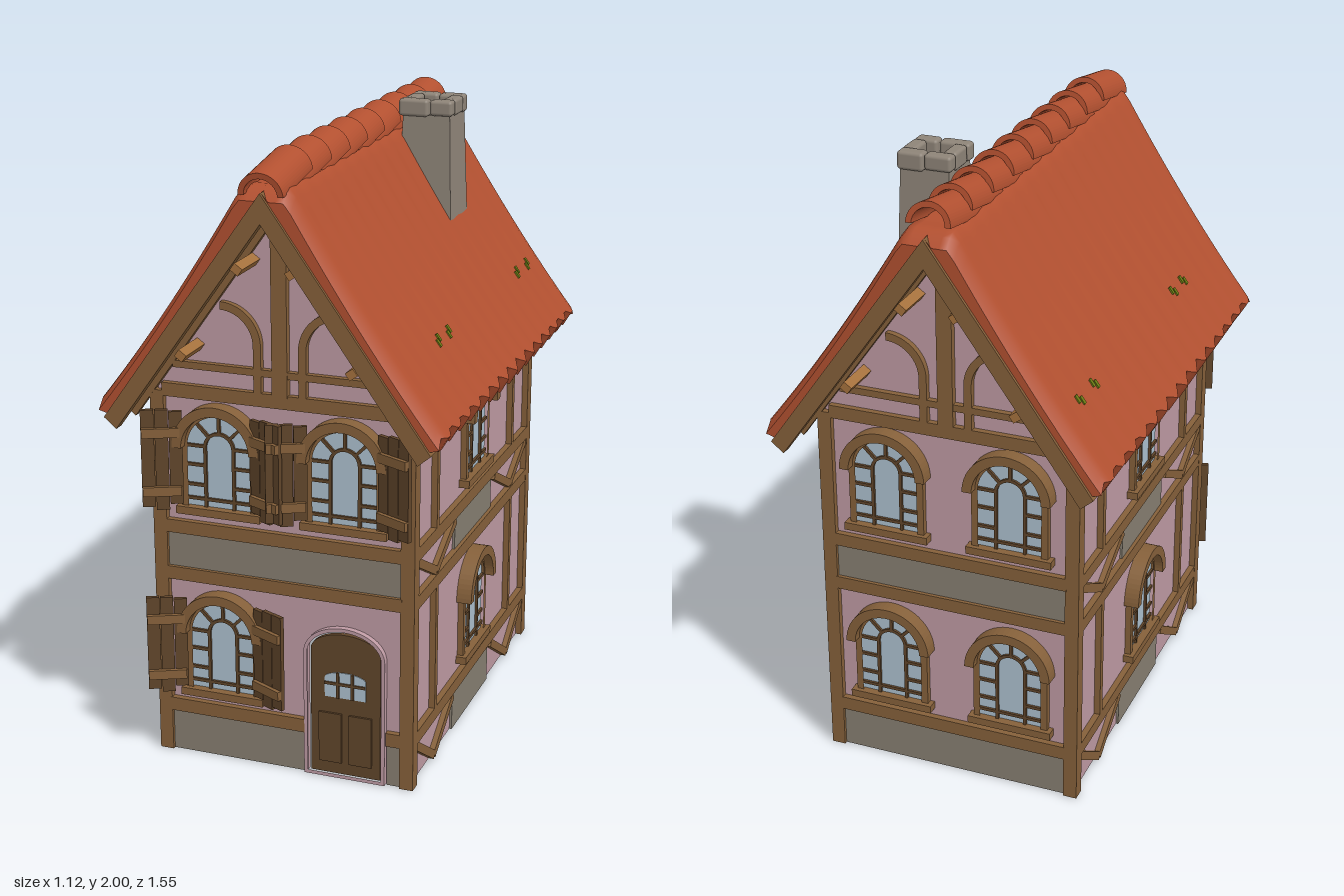
import * as THREE from 'three';
import { RoundedBoxGeometry } from 'three/addons/geometries/RoundedBoxGeometry.js';

const mat = (name, color, side = THREE.FrontSide) => {
  const m = new THREE.MeshStandardMaterial({ color, side });
  m.name = name;
  return m;
};

export function createModel() {
  const plaster = mat('pink plaster', 0xbe9aa3);
  const timber = mat('timber brown', 0x85603a);
  const darkWood = mat('dark wood', 0x60452a);
  const glass = mat('window glass', 0xacc0ce);
  const tile = mat('roof tile', 0xb25030);
  const stone = mat('grey stone', 0x867e71);
  const chimneyStone = mat('chimney stone', 0x8e8478, THREE.DoubleSide);
  const purlinWood = mat('light timber', 0xa5713d);
  const moss = mat('moss green', 0x6a7a14);

  const house = new THREE.Group();
  house.name = 'house';

  const add = (parent, name, geo, m, x = 0, y = 0, z = 0) => {
    const mesh = new THREE.Mesh(geo, m);
    mesh.name = name;
    mesh.position.set(x, y, z);
    parent.add(mesh);
    return mesh;
  };
  const box = (parent, name, m, w, h, d, x, y, z) => add(parent, name, new THREE.BoxGeometry(w, h, d), m, x, y, z);
  const group = (parent, name, x = 0, y = 0, z = 0, ry = 0) => {
    const g = new THREE.Group();
    g.name = name;
    g.position.set(x, y, z);
    g.rotation.y = ry;
    parent.add(g);
    return g;
  };
  // straight timber between two points of a wall face
  const bar = (parent, name, x1, y1, x2, y2, w, m = timber, z = 0.005, d = 0.03) => {
    const b = box(parent, name, m, Math.hypot(x2 - x1, y2 - y1), w, d, (x1 + x2) / 2, (y1 + y2) / 2, z);
    b.rotation.z = Math.atan2(y2 - y1, x2 - x1);
    return b;
  };
  const extrude = (shape, depth, z0 = 0) =>
    new THREE.ExtrudeGeometry(shape, { depth, bevelEnabled: false, curveSegments: 14 }).translate(0, 0, z0);
  const arch = (w, s, h, Type = THREE.Shape, y0 = 0) => {
    const p = new Type();
    p.moveTo(-w, y0);
    p.lineTo(-w, s);
    p.absellipse(0, s, w, h, Math.PI, 0, true);
    p.lineTo(w, y0);
    p.closePath();
    return p;
  };
  const archRing = (w, s, h, t) => {
    const p = arch(w, s, h);
    p.holes.push(arch(w - t, s, h - t, THREE.Path, t));
    return p;
  };
  const arcBand = (r0, r1, a0, a1) => {
    const p = new THREE.Shape();
    p.absarc(0, 0, r1, a0, a1, false);
    p.absarc(0, 0, r0, a1, a0, true);
    p.closePath();
    return p;
  };

  // ---- arched windows ----
  const SPRING = 0.22;
  const glassGeo = extrude(arch(0.112, SPRING, 0.112), 0.036, -0.028);
  const frameGeo = extrude(archRing(0.125, SPRING, 0.125, 0.022), 0.054, -0.034);
  const hoodGeo = extrude(arcBand(0.112, 0.143, 0, Math.PI), 0.05);
  const innerArchGeo = extrude(arcBand(0.042, 0.052, 0, Math.PI), 0.01, 0.006);
  const windowAt = (face, x, y) => {
    const w = group(face, 'window', x, y);
    add(w, 'windowGlass', glassGeo, glass);
    add(w, 'windowFrame', frameGeo, timber);
    add(w, 'windowHood', hoodGeo, timber, 0, SPRING);
    box(w, 'windowSill', timber, 0.28, 0.025, 0.035, 0, 0.012, 0.0175);
    add(w, 'innerArch', innerArchGeo, darkWood, 0, SPRING);
    const muntin = (x1, y1, x2, y2) => bar(w, 'muntin', x1, y1, x2, y2, 0.01, darkWood, 0.011, 0.01);
    for (const s of [-1, 1]) {
      muntin(s * 0.047, 0.02, s * 0.047, SPRING);
      for (const h of [0.095, 0.16, 0.222]) muntin(s * 0.047, h, s * 0.108, h);
    }
    muntin(-0.108, 0.05, 0.108, 0.05);
    for (const a of [0.25, 0.5, 0.75]) {
      const c = Math.cos(a * Math.PI), n = Math.sin(a * Math.PI);
      muntin(c * 0.05, SPRING + n * 0.05, c * 0.108, SPRING + n * 0.108);
    }
  };

  // ---- plank shutters, swung open ----
  const shutter = (face, x, y, d) => {
    const g = group(face, 'shutter', x + d * 0.118, y, 0.022, -d * 0.45);
    [0.3, 0.325, 0.315].forEach((h, i) =>
      box(g, 'shutterPlank', darkWood, 0.041, h, 0.014, d * (0.021 + i * 0.043), 0.185 - 0.006 * (i % 2), 0.007));
    for (const h of [0.08, 0.27]) box(g, 'shutterBatten', timber, 0.12, 0.03, 0.014, d * 0.066, h, 0.02);
  };

  // ---- bargeboard outline shared by gable trim ----
  const gableBoard = (drop) => {
    const p = new THREE.Shape();
    [[0, 1.89], [0.52, 1.162], [0.48, 1.218 - drop], [0, 1.89 - drop], [-0.48, 1.218 - drop], [-0.52, 1.162]]
      .forEach(([x, y], i) => (i ? p.lineTo(x, y) : p.moveTo(x, y)));
    p.closePath();
    return p;
  };

  // ---- front and back walls ----
  for (const front of [true, false]) {
    const face = group(house, front ? 'frontWall' : 'backWall', 0, 0, front ? 0.62 : -0.62, front ? 0 : Math.PI);
    const p = new THREE.Shape();
    p.moveTo(-0.41, 0);
    if (front) {
      p.lineTo(0.075, 0);
      p.lineTo(0.075, 0.42);
      p.absellipse(0.203, 0.42, 0.128, 0.09, Math.PI, 0, true);
      p.lineTo(0.331, 0);
    }
    [[0.41, 0], [0.41, 1.28], [0, 1.855], [-0.41, 1.28]].forEach(([x, y]) => p.lineTo(x, y));
    p.closePath();
    add(face, 'plasterWall', extrude(p, 0.02, -0.02), plaster);

    // stone panels and rails
    box(face, 'stonePanel', stone, 0.78, 0.115, 0.008, 0, 0.697, 0.004);
    for (const [a, b] of front ? [[-0.39, 0.07], [0.34, 0.39]] : [[-0.39, 0.39]]) {
      box(face, 'stoneBase', stone, b - a, 0.14, 0.008, (a + b) / 2, 0.07, 0.004);
      bar(face, 'lowRail', a, 0.162, b, 0.162, 0.045);
    }
    for (const y of [0.62, 0.778, 1.225]) bar(face, 'rail', -0.39, y, 0.39, y, 0.043);

    // gable framing
    bar(face, 'gableRail', -0.35, 1.31, 0.35, 1.31, 0.022);
    bar(face, 'kingPost', 0, 1.24, 0, 1.82, 0.05, timber, 0.007);
    for (const s of [-1, 1]) {
      bar(face, 'braceFoot', s * 0.0725, 1.24, s * 0.0725, 1.39, 0.025);
      add(face, 'curvedBrace', extrude(arcBand(0.105, 0.13, s > 0 ? Math.PI / 2 : 0, s > 0 ? Math.PI : Math.PI / 2), 0.02),
        timber, s * 0.19, 1.39);
    }
    add(face, 'gableRafters', extrude(gableBoard(0.09), 0.02), timber);
    add(face, 'bargeboard', extrude(gableBoard(0.09), 0.035, 0.12), timber);

    // windows
    for (const x of [-0.205, 0.205]) for (const y of [0.21, 0.83]) {
      if (front && x > 0 && y < 0.5) continue;
      windowAt(face, x, y);
      if (front) for (const d of [-1, 1]) shutter(face, x, y, d);
    }

    if (front) {
      // door with a small glazed light
      const door = group(face, 'door', 0.201, 0, 0);
      add(door, 'doorSurround', extrude(archRing(0.134, 0.42, 0.095, 0.012), 0.02).translate(0.002, -0.005, 0), plaster, 0, 0.005);
      add(door, 'doorLeaf', extrude(arch(0.115, 0.42, 0.06), 0.016, -0.016), darkWood, 0, 0.005);
      add(door, 'doorGlass', extrude(arch(0.068, 0.065, 0.022), 0.022, -0.019), glass, 0, 0.27);
      for (const x of [-0.024, 0.024]) bar(door, 'doorMuntin', x, 0.27, x, 0.356, 0.009, darkWood, 0.005, 0.006);
      bar(door, 'doorMuntin', -0.068, 0.318, 0.068, 0.318, 0.009, darkWood, 0.005, 0.006);
      for (const x of [-0.05, 0.05]) box(door, 'doorPanel', darkWood, 0.075, 0.17, 0.008, x, 0.13, 0.003);
    }
  }

  // ---- side walls ----
  for (const s of [-1, 1]) {
    const face = group(house, s > 0 ? 'leftWall' : 'rightWall', s * 0.41, 0, 0, s * Math.PI / 2);
    box(face, 'plasterWall', plaster, 1.24, 1.26, 0.02, 0, 0.63, -0.01);
    for (const y of [0.162, 0.62, 0.778, 1.18]) bar(face, 'rail', -0.6, y, 0.6, y, 0.043);
    for (const [y0, y1] of [[0, 0.14], [0.64, 0.757]]) {
      box(face, 'stonePanel', stone, 0.4, y1 - y0, 0.008, 0, (y0 + y1) / 2, 0.004);
      for (const d of [-1, 1]) {
        bar(face, 'footBrace', d * 0.41, y0 + 0.012, d * 0.59, y1 - 0.008, 0.028, timber, 0.003);
        bar(face, 'footBrace', d * 0.41, y0 + 0.012, d * 0.215, y1 - 0.008, 0.028, timber, 0.003);
      }
    }
    for (const d of [-1, 1]) {
      bar(face, 'post', d * 0.412, 0.18, d * 0.412, 0.605, 0.024);
      bar(face, 'post', d * 0.412, 0.795, d * 0.412, 1.18, 0.024);
      box(house, 'cornerPost', timber, 0.045, 1.22, 0.045, s * 0.408, 0.61, d * 0.617);
    }
    for (const y of [0.21, 0.83]) windowAt(face, 0, y);
  }

  // ---- roof: a box bent to the slope, corrugated with a zigzag eave ----
  const topY = (x) => Math.min(1.9, 2.023 - 1.714 * x + 0.41 * x * x);
  const zigzag = (z) => Math.abs((((z / 0.1) % 1) + 1) % 1 - 0.5) * 4 - 1;
  const roofGeo = new THREE.BoxGeometry(1, 1, 1.53, 24, 1, 60);
  const pos = roofGeo.attributes.position;
  for (let i = 0; i < pos.count; i++) {
    const u = pos.getX(i) + 0.5, z = pos.getZ(i), top = pos.getY(i) > 0;
    const eave = u > 0.99 ? zigzag(z) * 0.012 : 0;
    const x = u * (top ? 0.546 : 0.518) + eave;
    const roll = Math.max(0, (Math.abs(z) - 0.72) / 0.045);
    const y = top ? topY(x) + 0.003 * zigzag(z) - 0.035 * roll * roll : 1.89 - 1.4 * x;
    pos.setXYZ(i, x, y, z);
  }
  roofGeo.computeVertexNormals();
  const soffit = extrude(gableBoard(0.03), 1.5, -0.75);
  add(house, 'roofSoffit', soffit, timber);
  for (const s of [1, -1]) {
    const side = group(house, 'roofSide', 0, 0, 0, s > 0 ? 0 : Math.PI);
    add(side, 'roofTiles', roofGeo, tile);
    for (const [x, y] of [[0.27, 1.375], [0.085, 1.655]])
      box(side, 'purlin', purlinWood, 0.026, 0.03, 1.51, x, y, 0).rotation.z = -0.95;
    // moss tufts
    for (const z of [-0.6, -0.48, 0.28, 0.38]) for (const k of [-1, 1])
      box(side, 'moss', moss, 0.026, 0.008, 0.014, 0.412 + k * 0.004, topY(0.412 + k * 0.004) + 0.002, s * (z + k * 0.01)).rotation.z = -0.943;
  }

  // ---- overlapping ridge tiles ----
  const ridgeGeo = extrude(arcBand(0.052, 0.07, 0, Math.PI), 0.235);
  for (let i = 0; i < 9; i++)
    add(house, 'ridgeTile', ridgeGeo, tile, 0, 1.919, 0.535 - 0.159 * i).rotation.x = 0.165;

  // ---- chimney ----
  const chimney = group(house, 'chimney', 0.165, 0, -0.31);
  const shaft = new THREE.CylinderGeometry(0.112, 0.131, 0.4, 4, 1, true).rotateY(Math.PI / 4).toNonIndexed();
  shaft.computeVertexNormals();
  add(chimney, 'chimneyShaft', shaft, chimneyStone, 0, 1.75, 0);
  const stones = [
    [-0.045, -0.066, 0.088, 0.046, 0.05], [0.045, -0.064, 0.086, 0.05, 0.058],
    [-0.043, 0.066, 0.1, 0.044, 0.056], [0.05, 0.065, 0.076, 0.048, 0.05],
    [-0.066, 0, 0.044, 0.088, 0.058], [0.066, 0, 0.046, 0.084, 0.054],
  ];
  for (const [x, z, w, d, h] of stones)
    add(chimney, 'capStone', new RoundedBoxGeometry(w, h, d, 2, 0.011), chimneyStone, x, 2 - h / 2, z);

  return house;
}
